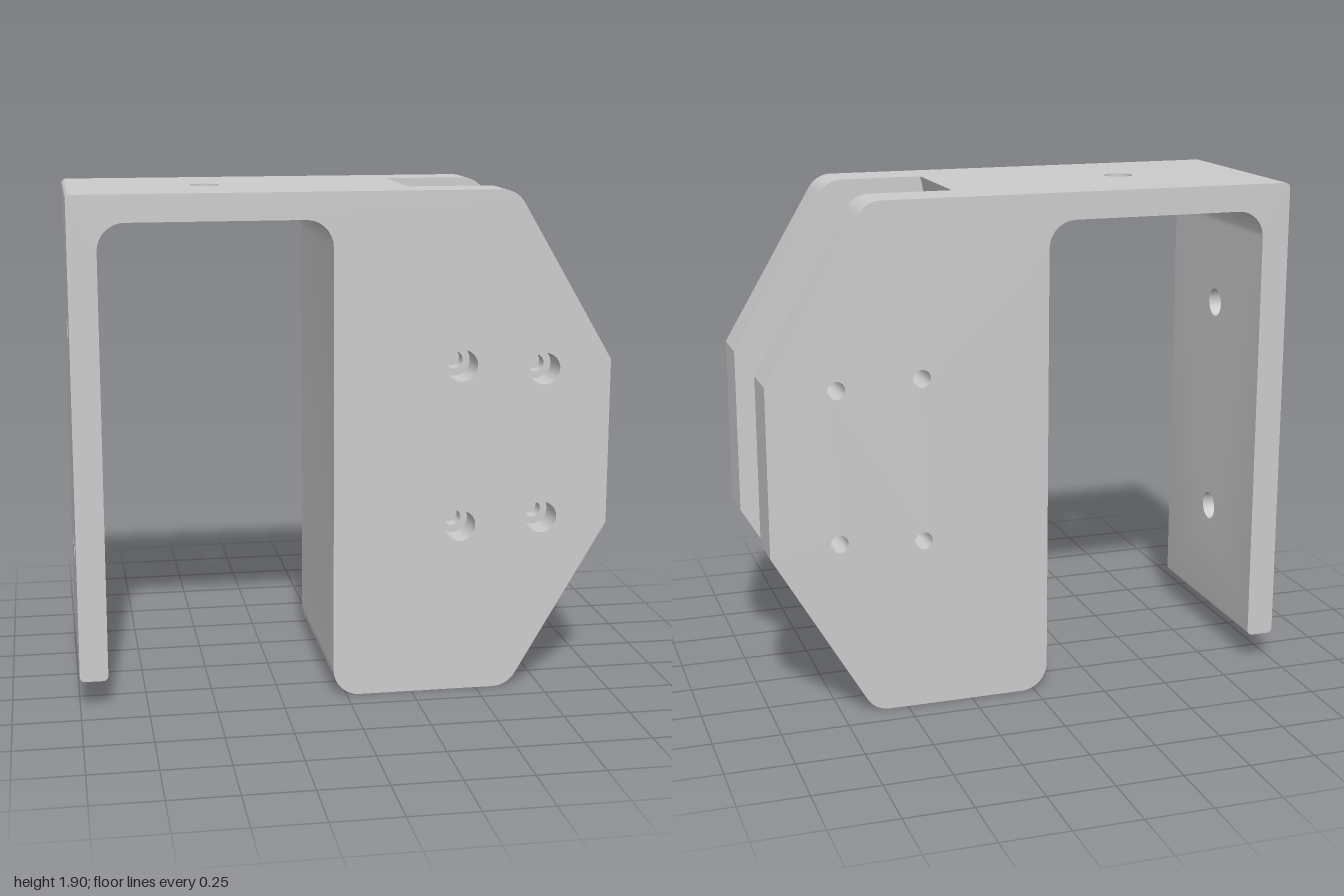
import * as THREE from 'three';
import { mergeGeometries, toCreasedNormals } from 'three/addons/utils/BufferGeometryUtils.js';

const HALF = 0.4;                        // half depth of the bracket
const SLOT = { x: 0.26, back: -0.215, front: 0.21 };
const MID = 0.95, WALL_R = 4.2;          // curved end wall of the slot
const SMALL = 0.033, LARGE = 0.06, STEP = 0.27;
const cheekHoles = [[0.43, 1.255], [0.745, 1.235], [0.43, 0.645], [0.745, 0.665]];

// mounting bores: centre, axis, radius, length
const mounts = [
  { p: [-0.9475, 0.53, 0], axis: 'x', len: 0.105 },
  { p: [-0.9475, 1.38, 0], axis: 'x', len: 0.105 },
  { p: [-0.475, 1.85, 0.013], axis: 'y', len: 0.1 },
];
const MOUNT_R = 0.055;

// polygon of [x, y, radius] corners -> points with rounded corners
function roundCorners(corners, steps = 8) {
  const out = [];
  corners.forEach(([x, y, r], i) => {
    const p = new THREE.Vector2(x, y);
    if (!r) { out.push(p); return; }
    const n = corners.length;
    const a = new THREE.Vector2(...corners[(i + n - 1) % n].slice(0, 2)).sub(p).normalize();
    const b = new THREE.Vector2(...corners[(i + 1) % n].slice(0, 2)).sub(p).normalize();
    const half = Math.acos(a.dot(b)) / 2;
    const centre = a.clone().add(b).normalize().multiplyScalar(r / Math.sin(half)).add(p);
    const start = a.multiplyScalar(r / Math.tan(half)).add(p).sub(centre);
    const end = b.multiplyScalar(r / Math.tan(half)).add(p).sub(centre);
    const sweep = Math.atan2(start.cross(end), start.dot(end));
    for (let k = 0; k <= steps; k++) {
      out.push(start.clone().rotateAround(new THREE.Vector2(), sweep * k / steps).add(centre));
    }
  });
  return out;
}

function holedShape(points, holes, r) {
  const shape = new THREE.Shape(points);
  for (const [x, y] of holes) shape.holes.push(new THREE.Path().absarc(x, y, r, 0, Math.PI * 2, true));
  return new THREE.ShapeGeometry(shape, 12);
}

// flat face in the xy plane, facing +z or -z
function flatFace(points, r, z, dir) {
  const geo = holedShape(points, cheekHoles, r).translate(0, 0, z);
  if (dir < 0) {
    const idx = geo.index.array;
    for (let i = 0; i < idx.length; i += 3) [idx[i], idx[i + 1]] = [idx[i + 1], idx[i]];
    geo.computeVertexNormals();
  }
  return geo;
}

// strip standing on the edge a-b between z0 and z1, pierced by any mount on it
function strip(a, b, z0, z1) {
  const d = b.clone().sub(a), len = d.length();
  d.normalize();
  const holes = [];
  for (const { p, axis } of mounts) {
    const rel = new THREE.Vector2(p[0], p[1]).sub(a);
    const along = rel.dot(d), off = Math.abs(rel.cross(d));
    const parallel = axis === 'x' ? Math.abs(d.x) : Math.abs(d.y);
    if (parallel < 0.01 && off < 0.06 && along > MOUNT_R && along < len - MOUNT_R) holes.push([along, p[2]]);
  }
  const rect = [[0, z0], [len, z0], [len, z1], [0, z1]].map(q => new THREE.Vector2(...q));
  const m = new THREE.Matrix4().makeBasis(
    new THREE.Vector3(d.x, d.y, 0), new THREE.Vector3(0, 0, 1), new THREE.Vector3(d.y, -d.x, 0));
  m.setPosition(a.x, a.y, 0);
  return holedShape(rect, holes, MOUNT_R).applyMatrix4(m);
}

export function createModel() {
  const group = new THREE.Group();
  const solid = new THREE.MeshStandardMaterial({ color: 0xcccccc });
  const thin = new THREE.MeshStandardMaterial({ color: 0xcccccc, side: THREE.DoubleSide });
  const add = (name, geo, mat = solid) => {
    const mesh = new THREE.Mesh(geo, mat);
    mesh.name = name;
    group.add(mesh);
    return mesh;
  };

  // side outline, counter-clockwise from the lower inner corner
  const outline = roundCorners([
    [-0.05, 0, 0.1], [SLOT.x, 0, 0], [0.626, 0, 0.1], [1, 0.635, 0], [1, 1.265, 0],
    [0.626, 1.9, 0.1], [SLOT.x, 1.9, 0], [-1, 1.9, 0.02], [-1, 0.11, 0.02],
    [-0.895, 0.11, 0.02], [-0.895, 1.8, 0.1], [-0.05, 1.8, 0.1],
  ]);

  // concave slot wall, bottom to top
  const wall = [];
  const reach = Math.sqrt(WALL_R ** 2 - MID ** 2);
  for (let i = 0; i <= 20; i++) {
    const y = 2 * MID * i / 20;
    wall.push(new THREE.Vector2(SLOT.x + reach - Math.sqrt(WALL_R ** 2 - (y - MID) ** 2), y));
  }
  const cheek = outline.filter(p => p.x > SLOT.x + 0.001).concat([...wall].reverse());

  // outer and inner flat faces
  add('frontFace', flatFace(outline, LARGE, HALF, 1));
  add('backFace', flatFace(outline, SMALL, -HALF, -1));
  add('frontCheekInside', flatFace(cheek, SMALL, SLOT.front, -1));
  add('backCheekInside', flatFace(cheek, SMALL, SLOT.back, 1));

  // rim around the outline, split in two where the slot is open
  const rim = [];
  outline.forEach((a, i) => {
    const b = outline[(i + 1) % outline.length];
    if ((a.x + b.x) / 2 > SLOT.x) {
      rim.push(strip(a, b, -HALF, SLOT.back), strip(a, b, SLOT.front, HALF));
    } else {
      rim.push(strip(a, b, -HALF, HALF));
    }
  });
  add('rim', toCreasedNormals(mergeGeometries(rim), 0.4));

  const wallStrips = wall.slice(1).map((b, i) => strip(wall[i], b, SLOT.back, SLOT.front));
  add('slotWall', toCreasedNormals(mergeGeometries(wallStrips), 0.4));

  // stop tab on the slot wall
  const tab = new THREE.Shape([[0.13, 0.85], [0.28, 0.85], [0.325, 0.89], [0.325, 1.01], [0.28, 1.055], [0.13, 1.055]]
    .map(q => new THREE.Vector2(...q)));
  add('stopTab', new THREE.ExtrudeGeometry(tab, { depth: 0.045, bevelEnabled: false })).position.z = SLOT.back;

  // counterbored holes in the front cheek, plain holes in the back cheek
  const bore = pts => toCreasedNormals(
    new THREE.LatheGeometry(pts.map(q => new THREE.Vector2(...q)), 24).rotateX(Math.PI / 2), 0.5);
  const stepped = bore([[LARGE, HALF], [LARGE, STEP], [SMALL, STEP], [SMALL, SLOT.front]]);
  const plain = bore([[SMALL, SLOT.back], [SMALL, -HALF]]);
  for (const [x, y] of cheekHoles) {
    add('frontBore', stepped, thin).position.set(x, y, 0);
    add('backBore', plain, thin).position.set(x, y, 0);
  }

  // mounting holes in the leg and the top plate
  for (const { p, axis, len } of mounts) {
    const geo = new THREE.CylinderGeometry(MOUNT_R, MOUNT_R, len, 24, 1, true);
    if (axis === 'x') geo.rotateZ(Math.PI / 2);
    add('mountBore', geo, thin).position.set(...p);
  }
  return group;
}
